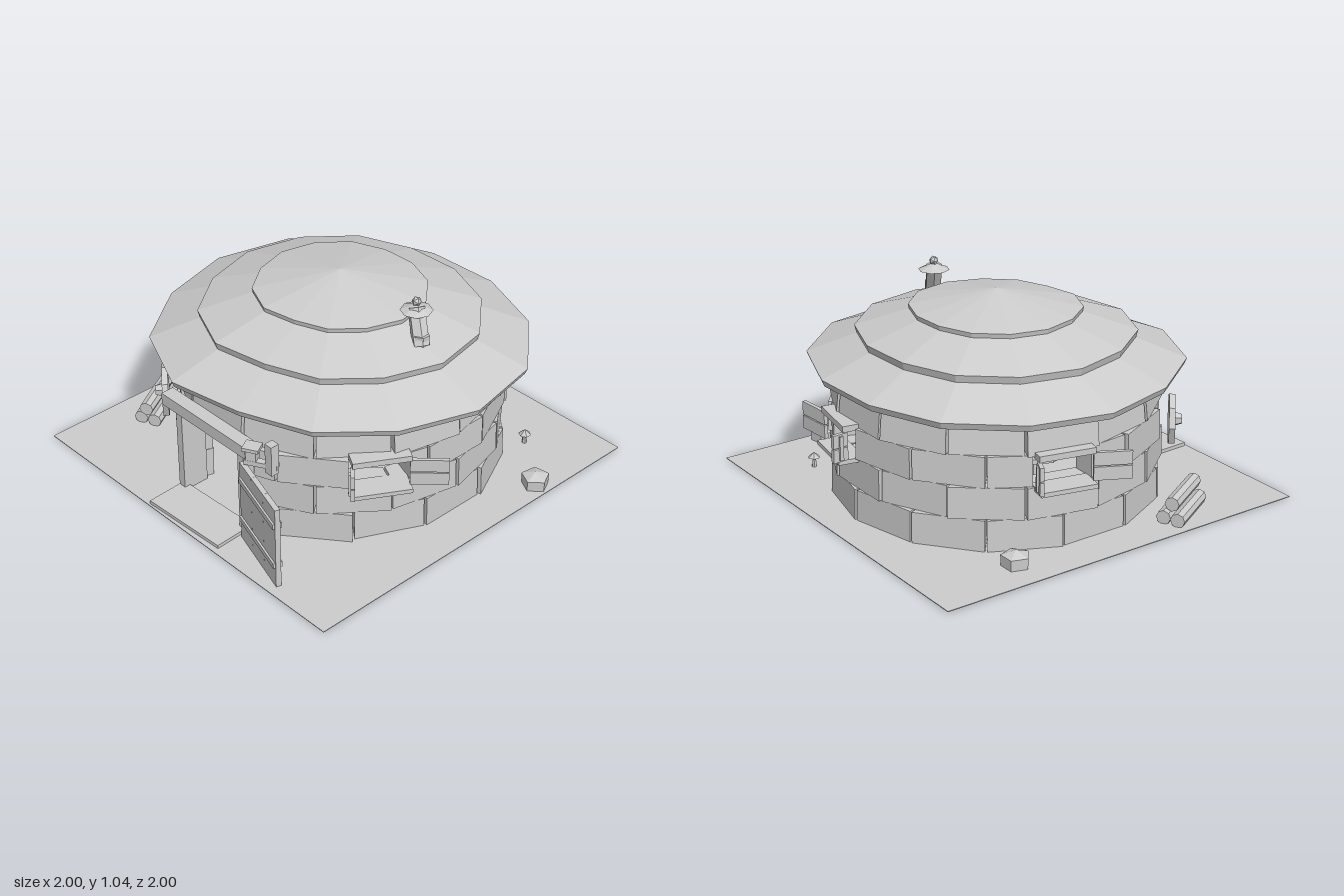
import * as THREE from 'three';

const stone = new THREE.MeshStandardMaterial({ color: 0xcccccc, flatShading: true, side: THREE.DoubleSide });
stone.name = 'plain grey';

const CZ = -0.035; // hut centre
const DEG = Math.PI / 180;

let seed = 7;
const jitter = (a) => {
  seed = (seed * 16807) % 2147483647;
  return (seed / 2147483647 - 0.5) * 2 * a;
};

function add(parent, name, geo, x = 0, y = 0, z = 0, rx = 0, ry = 0, rz = 0) {
  const m = new THREE.Mesh(geo, stone);
  m.name = name;
  m.position.set(x, y, z);
  m.rotation.set(rx, ry, rz);
  parent.add(m);
  return m;
}
const box = (w, h, d) => new THREE.BoxGeometry(w, h, d);
const cyl = (a, b, h, n) => new THREE.CylinderGeometry(a, b, h, n);

// Group on the wall: local +z points outward, local +x runs along the wall.
function wallGroup(parent, name, deg, r, y) {
  const g = new THREE.Group();
  g.name = name;
  g.position.set(Math.cos(deg * DEG) * r, y, CZ + Math.sin(deg * DEG) * r);
  g.rotation.y = (90 - deg) * DEG;
  parent.add(g);
  return g;
}

// Loft through rings of 3D points, each ring of equal length.
function loft(rings) {
  const n = rings[0].length, pos = [], idx = [];
  rings.forEach((r) => r.forEach((p) => pos.push(...p)));
  for (let k = 0; k < rings.length - 1; k++)
    for (let i = 0; i < n; i++) {
      const a = k * n + i, b = k * n + (i + 1) % n;
      idx.push(a, a + n, b, b, a + n, b + n);
    }
  const g = new THREE.BufferGeometry();
  g.setAttribute('position', new THREE.Float32BufferAttribute(pos, 3));
  g.setIndex(idx);
  const flat = g.toNonIndexed();
  flat.computeVertexNormals();
  return flat;
}

// Wedge-shaped stone between two angles, leaning inward by `lean`.
function blockGeometry(a0, a1, rIn, rOut, y0, y1, lean) {
  const ring = (y, s) => [[a0, rIn], [a0, rOut], [a1, rOut], [a1, rIn]]
    .map(([a, r]) => [Math.cos(a * DEG) * (r - s), y, CZ + Math.sin(a * DEG) * (r - s)]);
  const cap = (y, s) => Array(4).fill([Math.cos((a0 + a1) / 2 * DEG) * 0.74, y, CZ + Math.sin((a0 + a1) / 2 * DEG) * 0.74]);
  return loft([cap(y0, 0), ring(y0, 0), ring(y1, lean), cap(y1, lean)]);
}

const WINDOWS = [[30, -1], [280, 1], [193, -1]]; // angle, shutter side

function buildWalls(hut) {
  const walls = new THREE.Group();
  walls.name = 'stoneWalls';
  hut.add(walls);
  const levels = [0, 0.16, 0.317, 0.47, 0.61], step = 360 / 14;
  for (let row = 0; row < 4; row++) {
    const gaps = row < 3 ? [[72.5, 107.5]] : [];
    if (row === 2) WINDOWS.forEach(([a]) => gaps.push([a - 10, a + 10]));
    for (let i = 0; i < 14; i++) {
      const start = (i + (row % 2 ? 0 : 0.5)) * step;
      let spans = [[start, start + step]];
      gaps.forEach(([g0, g1]) => {
        spans = spans.flatMap(([a, b]) => (b <= g0 || a >= g1 ? [[a, b]] : [[a, Math.min(b, g0)], [Math.max(a, g1), b]]))
          .filter(([a, b]) => b - a > 1.5);
      });
      spans.forEach(([a, b]) => {
        const r = 0.808 + jitter(0.012);
        add(walls, 'wallStone', blockGeometry(a + 0.4, b - 0.4, 0.68, r, levels[row], levels[row + 1] - 0.002, row === 3 ? 0.015 : 0.004));
      });
    }
  }
}

// Three uneven, overlapping roof tiers.
function buildRoof(hut) {
  const eave = [0.93, 0.873, 0.847, 0.81, 0.9, 0.92, 0.895, 0.91, 0.9, 0.885, 0.85, 0.87, 0.92, 0.95];
  const tier = (radius, rimLow, rimHigh, topR, topY, inner) => {
    const ring = (f, y) => eave.map((e, i) => {
      const a = i / 14 * Math.PI * 2, r = f * (radius + (e - 0.89) * radius * 0.9);
      return [Math.cos(a) * r, y, CZ + Math.sin(a) * r];
    });
    return loft([ring(inner, rimLow), ring(0.985, rimLow), ring(1, rimHigh), ring(topR / radius, topY)]);
  };
  add(hut, 'lowerRoof', tier(0.895, 0.627, 0.66, 0.5, 0.825, 0));
  add(hut, 'middleRoof', tier(0.665, 0.763, 0.8, 0.3, 0.925, 0.5));
  add(hut, 'upperRoof', tier(0.41, 0.88, 0.912, 0, 1.0, 0.4));
}

function buildWindow(hut, [deg, side]) {
  const w = wallGroup(hut, 'window', deg, 0.79, 0);
  add(w, 'windowSill', box(0.28, 0.022, 0.13), 0, 0.308, 0.02);
  add(w, 'windowLintel', box(0.28, 0.03, 0.1), 0, 0.474, 0.01);
  // Open shutters made of boards
  [1, -1].forEach((s) => {
    const shutter = new THREE.Group();
    shutter.name = 'shutter';
    const wide = s === -side;
    shutter.position.set(s * 0.135, 0.39, 0.04);
    shutter.rotation.y = s * (wide ? -0.25 : -1.35);
    w.add(shutter);
    const width = wide ? 0.18 : 0.08;
    [-0.036, 0.036].forEach((y) => add(shutter, 'shutterBoard', box(width, 0.066, 0.02), s * width / 2, y, 0));
    add(shutter, 'shutterBatten', box(0.02, 0.12, 0.012), s * width * 0.5, 0, -0.014);
  });
}

function buildDoor(hut) {
  const d = new THREE.Group();
  d.name = 'doorway';
  hut.add(d);
  [-1, 1].forEach((s) => add(d, 'doorPost', box(0.04, 0.46, 0.14), s * 0.222, 0.23, 0.73));
  add(d, 'doorLintel', box(0.6, 0.062, 0.07), -0.02, 0.494, 0.785);
  add(d, 'doorStep', box(0.48, 0.022, 0.22), 0, 0.011, 0.87, 0, 0.04);
  // Open door leaf with straps
  const leaf = new THREE.Group();
  leaf.name = 'door';
  leaf.position.set(0.447, 0.222, 0.88);
  leaf.rotation.y = -0.306;
  d.add(leaf);
  [-1, 0, 1].forEach((i) => add(leaf, 'doorPlank', box(0.132, 0.436, 0.026), i * 0.1325, 0, 0));
  [-0.1, 0.125].forEach((y) => add(leaf, 'doorStrap', box(0.385, 0.028, 0.046), 0, y, 0));
  // Bracket post and lantern beside the door
  add(d, 'lanternPost', box(0.045, 0.16, 0.045), 0.41, 0.515, 0.77);
  add(d, 'lanternArm', box(0.16, 0.025, 0.035), 0.355, 0.465, 0.785, 0, 0.5);
  add(d, 'lantern', box(0.05, 0.075, 0.05), 0.31, 0.495, 0.8, 0, 0.5);
  add(d, 'lanternCap', box(0.08, 0.018, 0.07), 0.31, 0.54, 0.8, 0, 0.5);
}

function buildChimney(hut) {
  const base = new THREE.Vector3(0.55, 0.83, -0.03), top = new THREE.Vector3(0.47, 0.985, -0.073);
  const pipe = add(hut, 'chimneyPipe', cyl(0.042, 0.042, base.distanceTo(top), 6));
  pipe.position.copy(base).add(top).multiplyScalar(0.5);
  pipe.quaternion.setFromUnitVectors(new THREE.Vector3(0, 1, 0), top.clone().sub(base).normalize());
  add(hut, 'chimneyBase', cyl(0.04, 0.04, 0.07, 6), 0.54, 0.85, -0.04);
  add(hut, 'chimneyHat', new THREE.ConeGeometry(0.078, 0.035, 8), 0.473, 0.99, -0.073);
  add(hut, 'chimneyKnob', new THREE.IcosahedronGeometry(0.024, 0), 0.473, 1.018, -0.073);
}

function buildYard(hut) {
  // Log pile
  const logs = new THREE.Group();
  logs.name = 'logPile';
  logs.position.set(-0.835, 0, 0.45);
  logs.rotation.y = 0.52;
  hut.add(logs);
  [[-0.037, 0.035], [0.037, 0.035], [0, 0.105]].forEach(([x, y], i) =>
    add(logs, 'log', cyl(0.036, 0.036, 0.31, 8), x, y, i * 0.01, Math.PI / 2));
  // Shield hung on the wall
  const shield = wallGroup(hut, 'shield', 129, 0.855, 0.345);
  add(shield, 'shieldDisc', cyl(0.13, 0.13, 0.03, 8), 0, 0, 0, Math.PI / 2);
  add(shield, 'shieldBoss', cyl(0.025, 0.038, 0.04, 6), 0, 0, 0.03, Math.PI / 2);
  // Boulders and mushroom
  [[-0.82, -0.51], [0.92, -0.47]].forEach(([x, z], i) => {
    add(hut, 'boulder', cyl(0.07, 0.068, 0.058, 5), x, 0.029, z, 0, i * 0.15);
    add(hut, 'boulderTop', new THREE.ConeGeometry(0.07, 0.025, 5), x, 0.07, z, 0, i * 0.15);
  });
  add(hut, 'mushroomStem', cyl(0.01, 0.013, 0.06, 6), 0.65, 0.03, -0.69);
  add(hut, 'mushroomCap', new THREE.ConeGeometry(0.032, 0.028, 6), 0.65, 0.068, -0.69);
}

function buildInterior(hut) {
  add(hut, 'tableTop', cyl(0.17, 0.17, 0.025, 8), -0.12, 0.17, 0.1);
  add(hut, 'tableLeg', cyl(0.04, 0.05, 0.16, 6), -0.12, 0.08, 0.1);
  add(hut, 'stool', box(0.09, 0.15, 0.09), 0.16, 0.075, 0.4);
  add(hut, 'shelf', box(0.2, 0.02, 0.1), -0.09, 0.385, -0.63);
  add(hut, 'shelfBracket', box(0.03, 0.06, 0.06), -0.1, 0.35, -0.64);
}

export function createModel() {
  const hut = new THREE.Group();
  hut.name = 'roundHut';
  add(hut, 'ground', box(2, 0.004, 2), 0, 0.002, 0);
  buildWalls(hut);
  buildRoof(hut);
  WINDOWS.forEach((w) => buildWindow(hut, w));
  buildDoor(hut);
  buildChimney(hut);
  buildYard(hut);
  buildInterior(hut);
  return hut;
}
